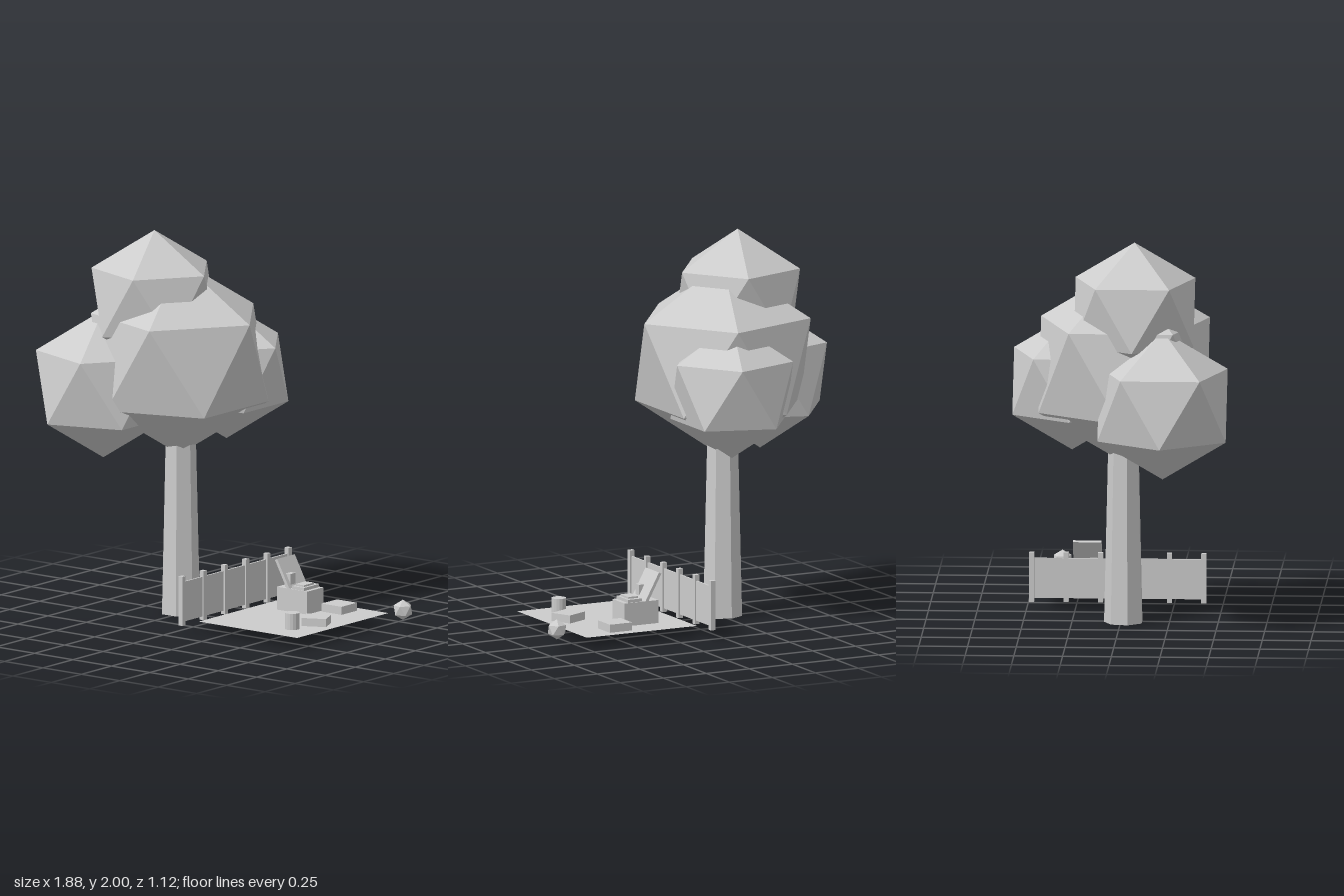
import * as THREE from 'three';

export function createModel() {
  const model = new THREE.Group();
  model.name = 'picnicUnderTree';
  const grey = new THREE.MeshStandardMaterial({ color: 0xcccccc, flatShading: true });
  grey.name = 'plain grey';
  const greySheet = grey.clone();
  greySheet.name = 'plain grey sheet';
  greySheet.side = THREE.DoubleSide;

  const add = (name, geometry, x, y, z, parent = model, material = grey) => {
    const mesh = new THREE.Mesh(geometry, material);
    mesh.name = name;
    mesh.position.set(x, y, z);
    parent.add(mesh);
    return mesh;
  };
  const box = (name, w, h, d, x, y, z, parent) =>
    add(name, new THREE.BoxGeometry(w, h, d), x, y, z, parent);
  // Icosahedron standing on one of its corners
  const tilt = -Math.atan(2 / (1 + Math.sqrt(5)));
  const ico = (name, r, x, y, z, parent) =>
    add(name, new THREE.IcosahedronGeometry(r, 0).rotateZ(tilt), x, y, z, parent);

  // Tree: tapered seven-sided trunk and four overlapping leaf clumps
  const tree = new THREE.Group();
  tree.name = 'tree';
  model.add(tree);
  const trunk = new THREE.CylinderGeometry(0.076, 0.1025, 1.15, 7).rotateY(Math.PI);
  add('trunk', trunk, -0.268, 0.575, 0.017, tree);
  ico('topFoliage', 0.361, -0.388, 1.639, 0.077, tree);
  ico('mainFoliage', 0.509, -0.27, 1.339, 0.018, tree);
  ico('frontFoliage', 0.387, -0.6, 1.193, 0.231, tree);
  ico('backFoliage', 0.355, -0.178, 1.235, -0.254, tree);

  // Fence: one thin panel held by six posts
  const fence = new THREE.Group();
  fence.name = 'fence';
  model.add(fence);
  box('fencePanel', 0.01, 0.208, 0.883, 0.053, 0.166, -0.03, fence);
  for (let i = 0; i < 6; i++) {
    box('fencePost', 0.026, 0.258, 0.026, 0.053, 0.172, 0.411 - i * 0.1766, fence);
  }

  // Picnic blanket
  const sheet = new THREE.PlaneGeometry(0.64, 0.76).rotateX(-Math.PI / 2);
  add('blanket', sheet, 0.43, 0.059, -0.035, model, greySheet);

  // Basket with open lid and contents
  const basket = new THREE.Group();
  basket.name = 'basket';
  model.add(basket);
  box('basketBody', 0.197, 0.12, 0.135, 0.349, 0.12, -0.193, basket);
  const lid = box('basketLid', 0.016, 0.165, 0.147, 0.286, 0.25, -0.197, basket);
  lid.rotation.z = 0.5;
  box('bottle', 0.036, 0.075, 0.04, 0.306, 0.215, -0.166, basket);
  box('plate', 0.08, 0.016, 0.125, 0.385, 0.188, -0.192, basket);
  box('sandwich', 0.055, 0.025, 0.085, 0.383, 0.1925, -0.188, basket);

  // Things lying on the blanket
  box('backCushion', 0.13, 0.042, 0.127, 0.522, 0.08, -0.297);
  const cushion = box('frontCushion', 0.129, 0.042, 0.117, 0.624, 0.08, 0.023);
  cushion.rotation.y = 0.44;
  add('cup', new THREE.CylinderGeometry(0.038, 0.038, 0.085, 16), 0.593, 0.102, 0.185);

  // Ball beside the blanket
  ico('ball', 0.053, 0.891, 0.106, -0.355);

  return model;
}
